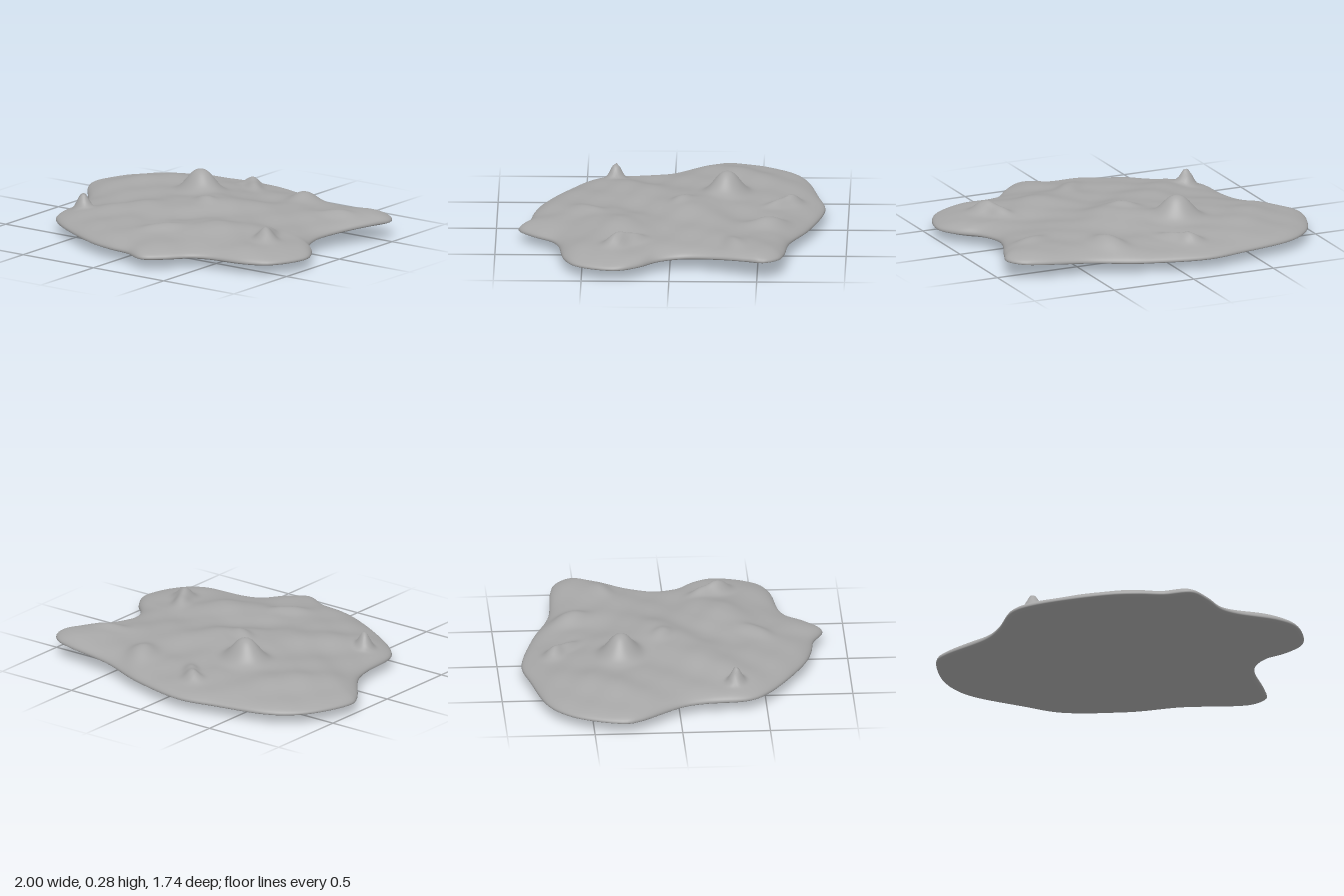
import * as THREE from 'three';

// Shoreline of the slab, as x, z pairs
const OUTLINE = [
  -0.17, -0.87, 0.2, -0.79, 0.5, -0.68, 0.8, -0.65, 0.9, -0.62, 0.96, -0.54, 0.93, -0.44, 0.82, -0.18,
  0.8, -0.06, 0.84, 0.07, 0.94, 0.18, 1, 0.31, 0.92, 0.53, 0.8, 0.6, 0.54, 0.64, 0.45, 0.68,
  0.35, 0.79, 0.24, 0.87, 0.09, 0.81, -0.05, 0.79, -0.22, 0.74, -0.62, 0.51, -0.71, 0.4, -0.74, 0.15,
  -0.78, 0.02, -0.97, -0.24, -1, -0.32, -0.92, -0.57, -0.82, -0.69, -0.7, -0.76, -0.4, -0.83,
];

// Bumps: x, z, height, half length, half width, turn (radians)
const TOP_BUMPS = [
  [-0.22, -0.31, 0.135, 0.11, 0.1, 0],       // round knob
  [-0.14, -0.69, 0.035, 0.06, 0.05, 0.2],    // back hook
  [-0.07, -0.62, 0.035, 0.1, 0.04, 0.85],
  [0.33, -0.57, 0.06, 0.11, 0.08, 1.2],      // back right lump
  [0.73, -0.36, 0.022, 0.1, 0.05, -0.2],
  [0, -0.06, 0.025, 0.08, 0.05, 0.5],        // middle rise
  [0.06, -0.13, 0.035, 0.22, 0.16, 0.3],
  [-0.58, 0.33, 0.1, 0.045, 0.04, 0],        // small spike
  [0.71, 0.31, 0.06, 0.07, 0.055, 0.6],      // front right nub
  [0.66, 0.22, 0.04, 0.08, 0.045, 1.1],
  [0.09, 0.48, 0.025, 0.1, 0.06, -0.8],      // front ridges
  [0.38, 0.3, 0.035, 0.22, 0.11, -0.8],
  [-0.32, 0.22, 0.025, 0.26, 0.12, -0.75],
  [-0.58, -0.42, 0.025, 0.22, 0.14, -0.6],
  [0.04, 0.2, -0.02, 0.2, 0.1, -0.7],        // hollows
  [0.17, -0.4, -0.015, 0.16, 0.14, 0],
];
const BOTTOM_BUMPS = [
  [0.2, -0.2, 0.024, 0.16, 0.11, 0.8],
  [-0.08, 0.08, 0.026, 0.17, 0.12, 0.8],
  [-0.33, 0.24, 0.026, 0.16, 0.1, 0.6],
  [-0.38, -0.52, 0.032, 0.22, 0.13, -0.2],
  [0.53, 0.28, 0.016, 0.16, 0.11, 0.5],
  [0.15, 0.58, 0.022, 0.15, 0.09, 0.2],
];

function bumpSum(list, x, z) {
  let sum = 0;
  for (const [bx, bz, h, a, b, turn] of list) {
    const c = Math.cos(turn), s = Math.sin(turn), dx = x - bx, dz = z - bz;
    const d2 = ((dx * c + dz * s) / a) ** 2 + ((dz * c - dx * s) / b) ** 2;
    sum += h * Math.exp(-(d2 ** 1.2));
  }
  return sum;
}

// Gentle undulation
const ripple = (x, z) =>
  0.004 * Math.sin(7 * x + 3 * z + 1) + 0.004 * Math.sin(11 * z - 6 * x) + 0.003 * Math.sin(19 * x + 13 * z)
  + 0.002 * Math.sin(27 * z - 17 * x);

// Height of the middle of the rim: lifted at the back right corner
const rimHeight = (x, z) => 0.066 + 0.04 * Math.exp(-((x - 0.95) ** 2 + (z + 0.5) ** 2) / 0.16);

function topHeight(x, z, t) {
  const round = Math.sqrt(1 - t ** 14), mask = 1 - t ** 10;
  return rimHeight(x, z) + 0.042 * round + 0.05 * (1 - t ** 2.4)
    + mask * (bumpSum(TOP_BUMPS, x, z) + ripple(x, z));
}

function bottomHeight(x, z, t) {
  const round = Math.sqrt(1 - t ** 14), mask = 1 - t ** 8;
  const y = rimHeight(x, z) - 0.018 * round - 0.018 * (1 - t ** 3)
    - mask * (bumpSum(BOTTOM_BUMPS, x, z) + 0.5 * ripple(z, x));
  return Math.max(0, y);
}

function slabGeometry() {
  const points = [];
  for (let i = 0; i < OUTLINE.length; i += 2) points.push(new THREE.Vector3(OUTLINE[i], 0, OUTLINE[i + 1]));
  const SEG = 240, TOP = 90, ROWS = 150;
  const edge = new THREE.CatmullRomCurve3(points, true).getSpacedPoints(SEG);
  const positions = [], indices = [];

  // Rings run from the top centre, over the rim, to the bottom centre
  for (let r = 0; r <= ROWS; r++) {
    const u = r <= TOP ? r / TOP : (ROWS - r) / (ROWS - TOP);
    const t = 1 - (1 - u) ** 1.35; // rings gather towards the rim
    const height = r <= TOP ? topHeight : bottomHeight;
    for (let j = 0; j < SEG; j++) {
      const x = edge[j].x * t, z = edge[j].z * t;
      positions.push(x, height(x, z, t), z);
    }
  }
  // The first and last rings each shrink to one shared point
  const at = (r, j) => r * SEG + (r === 0 || r === ROWS ? 0 : j % SEG);
  for (let r = 0; r < ROWS; r++) {
    for (let j = 0; j < SEG; j++) {
      const a = at(r, j), b = at(r, j + 1), c = at(r + 1, j), d = at(r + 1, j + 1);
      if (r > 0) indices.push(a, b, d);
      if (r < ROWS - 1) indices.push(a, d, c);
    }
  }
  const geometry = new THREE.BufferGeometry();
  geometry.setAttribute('position', new THREE.Float32BufferAttribute(positions, 3));
  geometry.setIndex(indices);
  geometry.computeVertexNormals();
  return geometry;
}

export function createModel() {
  const group = new THREE.Group();
  group.name = 'rockSlab';
  const slab = new THREE.Mesh(slabGeometry(), new THREE.MeshStandardMaterial({ color: 0xa6a6a6 }));
  slab.name = 'slab';
  group.add(slab);
  return group;
}
